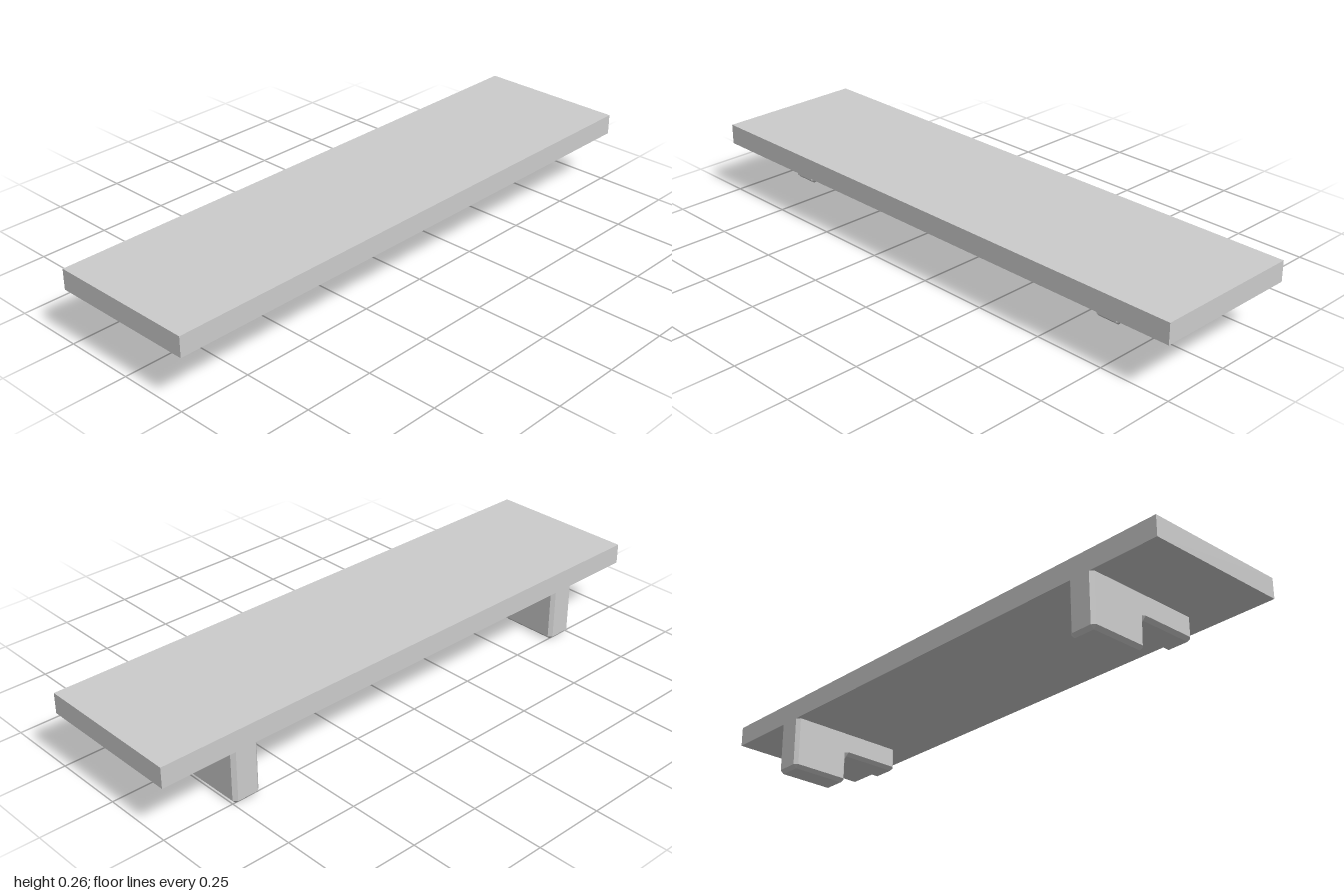
import * as THREE from 'three';

const material = new THREE.MeshStandardMaterial({ color: 0xcccccc, flatShading: true });
const TOP = 0.185;

// Bracket outlines, anticlockwise from the top left: full silhouette and chamfered side face
const silhouette = [
  [-0.263, TOP], [-0.263, 0.012], [-0.251, 0], [-0.057, 0], [-0.045, 0.012],
  [-0.045, 0.094], [-0.034, 0.105], [0.165, 0.105], [0.177, 0.117], [0.177, TOP],
];
const sideFace = [
  [-0.251, TOP], [-0.251, 0.012], [-0.251, 0.012], [-0.057, 0.012], [-0.057, 0.012],
  [-0.054, 0.112], [-0.036, 0.117], [0.165, 0.117], [0.165, 0.117], [0.165, TOP],
];

// Loft the outlines through the thickness, then cap both sides
function bracketGeometry(half = 0.049, chamfer = 0.012) {
  const ring = (outline, z) => outline.map(([x, y]) => new THREE.Vector3(x, y, z));
  const rings = [
    ring(sideFace, half), ring(silhouette, half - chamfer),
    ring(silhouette, chamfer - half), ring(sideFace, -half),
  ];
  const points = [];
  const n = silhouette.length;
  for (let i = 0; i < 3; i++) {
    for (let j = 0; j < n; j++) {
      const k = (j + 1) % n;
      const [a, b, c, d] = [rings[i][j], rings[i][k], rings[i + 1][j], rings[i + 1][k]];
      points.push(a, c, b, b, c, d);
    }
  }
  // Caps skip the repeated corner points
  const keep = [0, 1, 3, 5, 6, 7, 9];
  const contour = keep.map((i) => new THREE.Vector2(...sideFace[i]));
  for (const [a, b, c] of THREE.ShapeUtils.triangulateShape(contour, [])) {
    const [p, q, r] = [keep[a], keep[b], keep[c]];
    points.push(rings[0][p], rings[0][q], rings[0][r]);
    points.push(rings[3][p], rings[3][r], rings[3][q]);
  }
  const geometry = new THREE.BufferGeometry().setFromPoints(points);
  geometry.computeVertexNormals();
  return geometry;
}

export function createModel() {
  const group = new THREE.Group();
  group.name = 'shelf';

  // Flat board
  const board = new THREE.Mesh(new THREE.BoxGeometry(0.526, 0.071, 2), material);
  board.name = 'board';
  board.position.y = TOP + 0.0355;
  group.add(board);

  // Two stepped brackets under the board
  const geometry = bracketGeometry();
  for (const [name, z] of [['frontBracket', 0.705], ['backBracket', -0.702]]) {
    const bracket = new THREE.Mesh(geometry, material);
    bracket.name = name;
    bracket.position.z = z;
    group.add(bracket);
  }
  return group;
}
